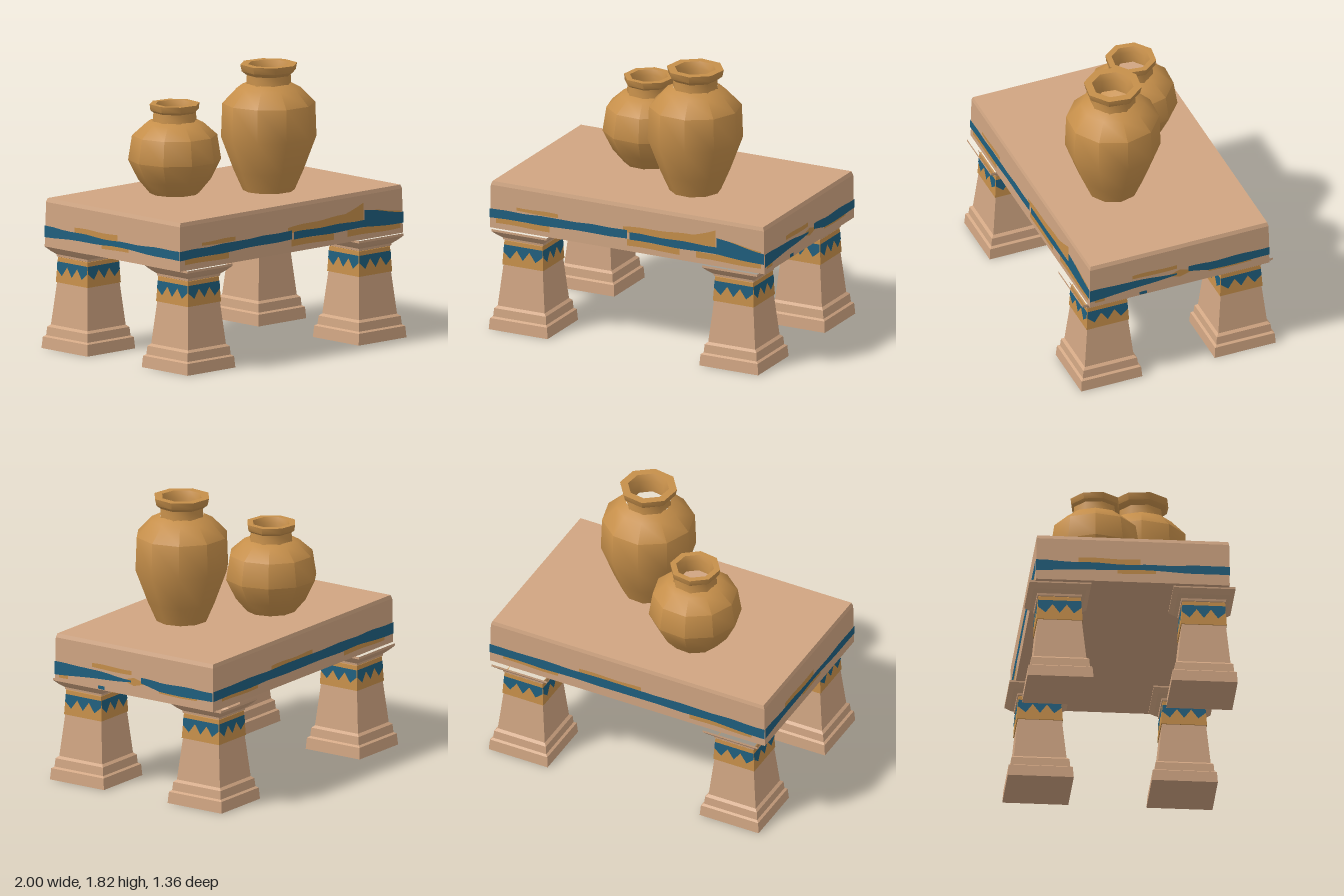
import * as THREE from 'three';
import { toCreasedNormals } from 'three/addons/utils/BufferGeometryUtils.js';

const flat = (name, color) => {
  const m = new THREE.MeshStandardMaterial({ color });
  m.name = name;
  return m;
};
const stone = flat('sandstone', 0xd0a582);
const ochre = flat('ochre clay', 0xc68f4a);
const blue = flat('blue paint', 0x1f5f7e);

const add = (parent, name, geometry, material) => {
  const mesh = new THREE.Mesh(geometry, material);
  mesh.name = name;
  parent.add(mesh);
  return mesh;
};

const toPoints = (pairs) => pairs.map(([a, b]) => new THREE.Vector2(a, b));

// Four-sided solid from [halfWidth, y] pairs, flat faced
function squareLoft(profile, sx = 1, sz = 1) {
  const pts = profile.map(([h, y]) => new THREE.Vector2(h * Math.SQRT2, y));
  const g = new THREE.LatheGeometry(pts, 4, Math.PI / 4).scale(sx, 1, sz).toNonIndexed();
  g.computeVertexNormals();
  return g;
}

// Round form from [radius, y] pairs, smooth with sharp rims
const turned = (profile, segments) =>
  toCreasedNormals(new THREE.LatheGeometry(toPoints(profile), segments), 0.85);

// Tapering brush stroke with slightly uneven edges
function stroke([u0, u1, low0, high0, low1 = low0, high1 = high0]) {
  const steps = 8, lower = [], upper = [];
  for (let i = 0; i <= steps; i++) {
    const t = i / steps, u = THREE.MathUtils.lerp(u0, u1, t);
    lower.push([u, THREE.MathUtils.lerp(low0, low1, t) + 0.003 * Math.sin(u * 13)]);
    upper.unshift([u, THREE.MathUtils.lerp(high0, high1, t) + 0.003 * Math.sin(u * 19)]);
  }
  return new THREE.ShapeGeometry(new THREE.Shape(toPoints([...lower, ...upper])));
}

// Hollow jar: body, then neck with a flared lip folding inward
function makeJar(name, x, z, body, neck) {
  const jar = new THREE.Group();
  jar.name = name;
  jar.position.set(x, 0, z);
  jar.rotation.y = 0.25;
  add(jar, 'jarBody', turned(body, 10), ochre);
  add(jar, 'jarNeck', turned(neck, 8), ochre);
  return jar;
}

// Painted strokes on one side of the slab
function paintSide(name, turn, out, blueStrokes, ochreStrokes) {
  const side = new THREE.Group();
  side.name = name;
  side.rotation.y = turn;
  ochreStrokes.forEach((s) => add(side, 'ochreStroke', stroke(s).translate(0, 0, out + 0.002), ochre));
  blueStrokes.forEach((s) => add(side, 'blueStroke', stroke(s).translate(0, 0, out + 0.004), blue));
  return side;
}

// Blue zigzag with three downward teeth, leaning with the collar
function makeZigzag() {
  const teeth = [[0.139, 0.568], [-0.139, 0.568], [-0.141, 0.52]];
  for (let i = 0; i < 5; i++) teeth.push([(i - 2) * 0.046, i % 2 ? 0.54 : 0.478]);
  teeth.push([0.141, 0.52]);
  const g = new THREE.ShapeGeometry(new THREE.Shape(toPoints(teeth)));
  const pos = g.attributes.position;
  for (let i = 0; i < pos.count; i++) pos.setZ(i, 0.151 - (pos.getY(i) - 0.432) * 0.061);
  g.computeVertexNormals();
  return g;
}

export function createModel() {
  const model = new THREE.Group();
  model.name = 'tableWithJars';

  const tallJar = makeJar('tallJar', 0.25, 0.155,
    [[0.165, 0.985], [0.225, 1.12], [0.308, 1.34], [0.3, 1.56], [0.205, 1.66], [0.145, 1.69]],
    [[0.148, 1.685], [0.145, 1.745], [0.178, 1.77], [0.188, 1.815], [0.135, 1.815], [0.115, 1.77], [0.11, 1.69]]);
  const shortJar = makeJar('shortJar', -0.263, -0.185,
    [[0.155, 0.985], [0.235, 1.08], [0.3, 1.21], [0.275, 1.37], [0.185, 1.45], [0.14, 1.465]],
    [[0.146, 1.46], [0.14, 1.52], [0.16, 1.535], [0.165, 1.575], [0.125, 1.575], [0.11, 1.54], [0.105, 1.465]]);
  model.add(tallJar, shortJar);

  // Table slab with softened upper edge
  const W = 0.995, D = 0.625, inset = 0.985;
  add(model, 'slab', squareLoft([[0, 0.675], [1, 0.675], [0.995, 0.965], [inset, 0.99]], W, D), stone);

  // Slab top, open beneath the hollow jars
  const tw = W * inset, td = D * inset;
  const top = new THREE.Shape(toPoints([[-tw, -td], [tw, -td], [tw, td], [-tw, td]]));
  for (const { position: p } of [tallJar, shortJar]) {
    top.holes.push(new THREE.Path().absarc(p.x, -p.z, 0.14, 0, Math.PI * 2, true));
  }
  add(model, 'slabTop', new THREE.ShapeGeometry(top, 5).rotateX(-Math.PI / 2).translate(0, 0.99, 0), stone);

  // Worn stripes: [start, end, low, high, low at end, high at end]
  model.add(
    paintSide('frontStripe', 0, D,
      [[-W, 0, 0.745, 0.805, 0.76, 0.818], [0.02, 0.65, 0.755, 0.805], [0.65, W, 0.755, 0.868, 0.74, 0.812]],
      [[-0.95, -0.56, 0.712, 0.75], [-0.8, -0.5, 0.818, 0.842], [-0.03, 0.48, 0.8, 0.84, 0.8, 0.862],
        [0.48, 0.64, 0.8, 0.862, 0.8, 0.918], [0, 0.38, 0.712, 0.756], [0.5, 0.97, 0.71, 0.755], [0.75, 0.97, 0.8, 0.855, 0.8, 0.825]]),
    paintSide('leftStripe', Math.PI / 2, W,
      [[-D, -0.4, 0.722, 0.806, 0.735, 0.806], [-0.4, -0.02, 0.735, 0.806, 0.768, 0.78],
        [0.06, 0.2, 0.77, 0.808, 0.74, 0.806], [0.2, D, 0.74, 0.804], [-0.28, -0.23, 0.68, 0.7]],
      [[-0.59, -0.52, 0.705, 0.73], [-0.33, -0.02, 0.815, 0.844], [-0.08, 0, 0.772, 0.78, 0.745, 0.8],
        [0, 0.08, 0.745, 0.8, 0.765, 0.775], [0.2, 0.5, 0.728, 0.75]]),
    paintSide('backStripe', Math.PI, D,
      [[-W, 0.6, 0.745, 0.81], [0.6, W, 0.745, 0.81, 0.73, 0.808]],
      [[-0.9, -0.5, 0.722, 0.755], [-0.35, 0.1, 0.8, 0.834], [0.45, 0.9, 0.712, 0.755]]),
    paintSide('rightStripe', -Math.PI / 2, W,
      [[-D, 0, 0.738, 0.81, 0.76, 0.795], [0, D, 0.76, 0.795, 0.743, 0.808]],
      [[-0.1, 0.15, 0.733, 0.77], [-0.35, 0.05, 0.79, 0.835]]),
  );

  // Legs: stepped plinth, tapering shaft, painted collar, flared capital
  const shaft = squareLoft([[0, 0], [0.213, 0], [0.207, 0.075], [0.192, 0.085], [0.187, 0.14], [0.17, 0.155], [0.142, 0.435]]);
  const collar = squareLoft([[0.138, 0.43], [0.148, 0.432], [0.138, 0.595], [0.13, 0.6]]);
  const capital = squareLoft([[0.13, 0.595], [0.143, 0.6], [0.145, 0.615], [0.17, 0.635], [0.2, 0.665], [0.2, 0.68]]);
  const zigzag = makeZigzag();

  for (const [end, z] of [['front', 0.465], ['back', -0.465]]) {
    for (const [hand, x] of [['Left', 0.763], ['Right', -0.763]]) {
      const leg = new THREE.Group();
      leg.name = `${end}${hand}Leg`;
      leg.position.set(x, 0, z);
      add(leg, 'plinthAndShaft', shaft, stone);
      add(leg, 'collar', collar, ochre);
      add(leg, 'capital', capital, stone);
      for (let k = 0; k < 4; k++) add(leg, 'zigzagPaint', zigzag, blue).rotation.y = (k * Math.PI) / 2;
      model.add(leg);
    }
  }
  return model;
}
